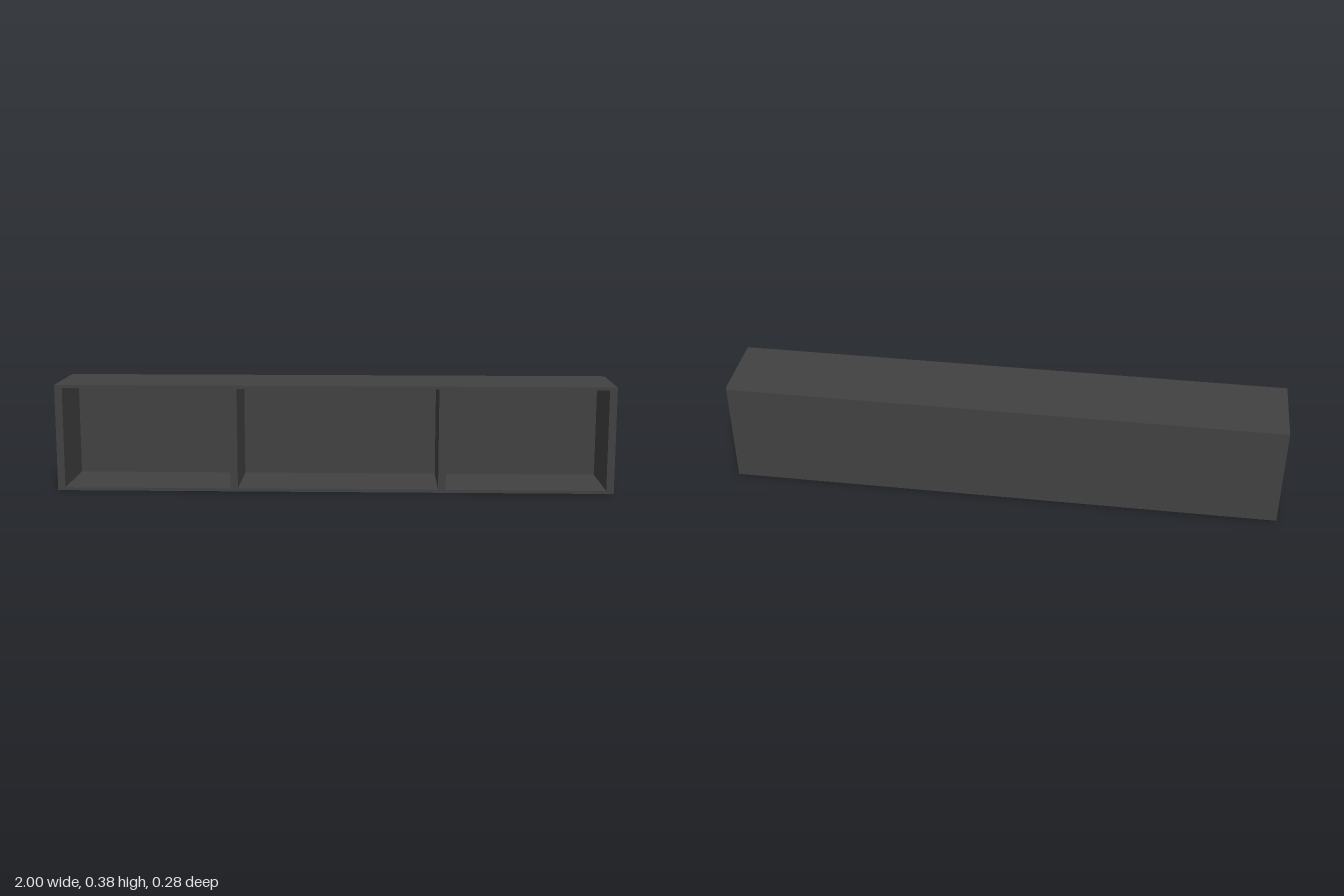
import * as THREE from 'three';

const W = 2, H = 0.385, FRONT = 0.142, BACK = -0.141;
const SKIN = 0.011;       // top and bottom board thickness
const BOARD = 0.027;      // upright thickness
const PANEL_Z = -0.129;   // front face of the back panel
const GAP = 0.002;        // slit between uprights and back panel

export function createModel() {
  const shelf = new THREE.Group();
  shelf.name = 'wallShelf';
  const charcoal = new THREE.MeshStandardMaterial({ color: 0x424242 });
  charcoal.name = 'charcoal';

  // Board spanning the given limits on each axis
  function board(name, x0, x1, y0, y1, z0, z1) {
    const mesh = new THREE.Mesh(new THREE.BoxGeometry(x1 - x0, y1 - y0, z1 - z0), charcoal);
    mesh.position.set((x0 + x1) / 2, (y0 + y1) / 2, (z0 + z1) / 2);
    mesh.name = name;
    shelf.add(mesh);
  }

  // Top and bottom
  board('bottomBoard', -W / 2, W / 2, 0, SKIN, PANEL_Z, FRONT);
  board('topBoard', -W / 2, W / 2, H - SKIN, H, PANEL_Z, FRONT);

  // End panels and the two dividers
  const uprights = [
    ['rightEnd', -W / 2], ['rightDivider', -0.374],
    ['leftDivider', 0.373], ['leftEnd', W / 2 - BOARD],
  ];
  for (const [name, x] of uprights) {
    board(name, x, x + BOARD, SKIN, H - SKIN, PANEL_Z + GAP, FRONT);
  }

  // Back panel, a touch short of the left end
  board('backPanel', -W / 2, W / 2 - 0.005, 0, H, BACK, PANEL_Z);

  return shelf;
}
